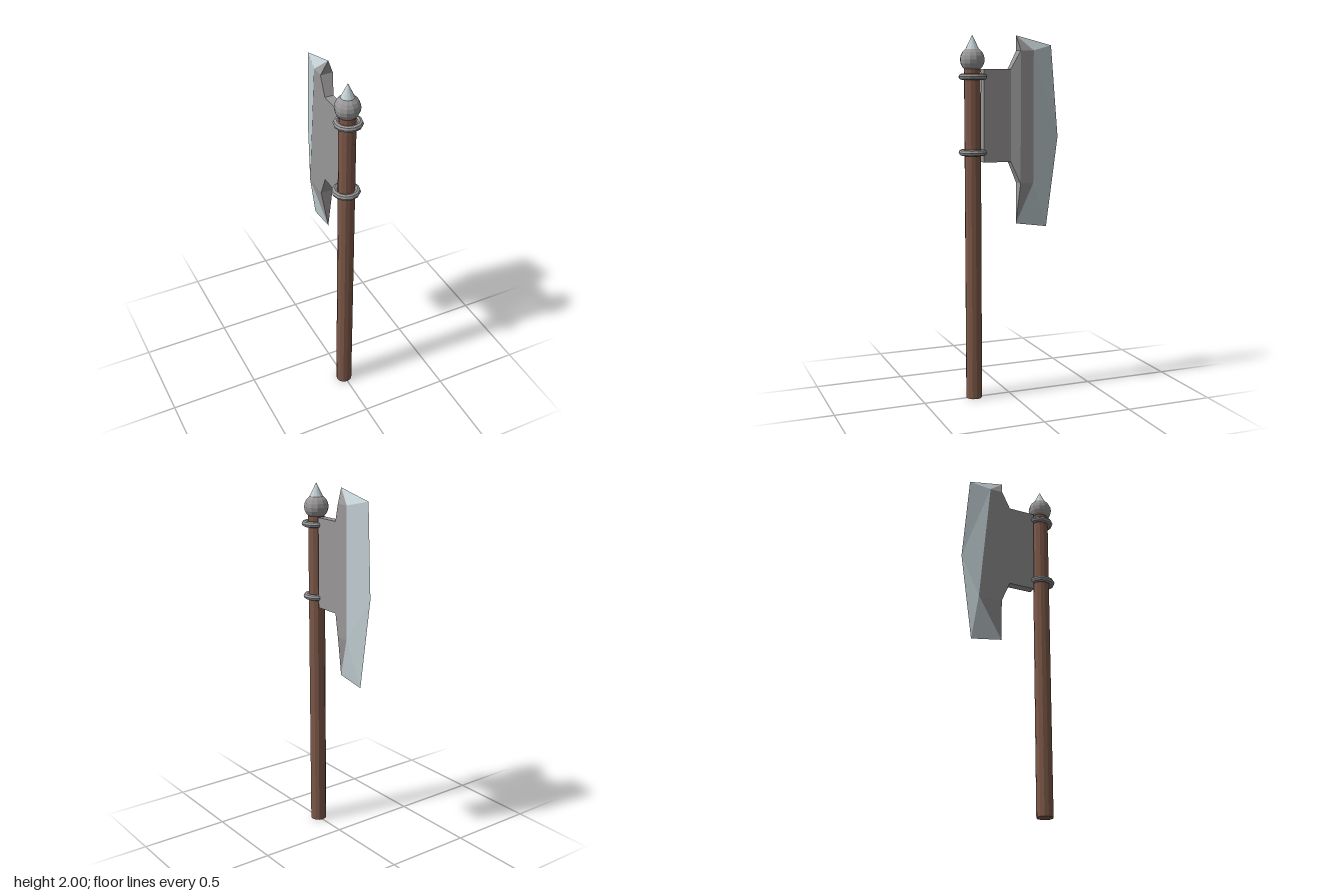
import * as THREE from 'three';

const mat = (color) => new THREE.MeshStandardMaterial({ color, flatShading: true });

export function createModel() {
  const group = new THREE.Group();
  const wood = mat(0x7d5848), iron = mat(0x999797), steel = mat(0xc4d1d5);
  const add = (name, geometry, material, x = 0, y = 0, z = 0) => {
    const mesh = new THREE.Mesh(geometry, material);
    mesh.name = name;
    mesh.position.set(x, y, z);
    group.add(mesh);
    return mesh;
  };

  // Shaft with ball and spike on top
  const sx = -0.002, sz = 0.21;
  add('shaft', new THREE.CylinderGeometry(0.045, 0.045, 1.83, 12), wood, sx, 0.915, sz);
  add('pommelBall', new THREE.SphereGeometry(0.067, 12, 10), iron, sx, 1.87, sz);
  add('spike', new THREE.ConeGeometry(0.042, 0.085, 12), steel, sx, 1.9575, sz);

  // Two rings clasping the shaft
  for (const [name, x, y] of [['upperRing', 0.003, 1.78], ['lowerRing', -0.004, 1.375]]) {
    const ring = new THREE.TorusGeometry(0.06, 0.017, 8, 12).rotateX(Math.PI / 2);
    add(name, ring, iron, x, y, sz);
  }

  // Blade corners for one side: t = top, b = bottom; the cutting edge and horns are shared
  const horn = [0.014, 2, -0.035], lowHorn = [0.014, 0.975, -0.035];
  const edgeTop = [0.002, 1.95, -0.247], edgeMid = [0.014, 1.45, -0.285], edgeLow = [0.02, 0.95, -0.215];
  const side = (xNeck, xWide, zLowRidge) => ({
    plateT: [xNeck, 1.82, 0.155], plateB: [xNeck, 1.32, 0.155],
    neckT: [xNeck, 1.82, 0], neckB: [xNeck, 1.32, 0],
    backT: [xWide, 1.92, -0.05], backB: [xWide, 1.2, -0.05],
    ridgeT: [xWide, 1.92, -0.125], ridgeB: [xWide, 1.2, zLowRidge],
  });
  const L = side(0.026, 0.047, -0.125), R = side(-0.022, -0.022, -0.19);

  // Polygons (triangles or quads) to a flat-shaded geometry
  const polys = (list) => {
    const pos = [];
    for (const p of list)
      for (let i = 1; i < p.length - 1; i++) pos.push(...p[0], ...p[i], ...p[i + 1]);
    const g = new THREE.BufferGeometry();
    g.setAttribute('position', new THREE.Float32BufferAttribute(pos, 3));
    g.computeVertexNormals();
    return g;
  };
  const body = [], bevel = [];
  for (const s of [L, R]) {
    const wind = (p) => (s === L ? p : [...p].reverse());
    body.push(...[
      [s.plateT, s.plateB, s.neckB, s.neckT],
      [s.neckT, s.neckB, s.backB, s.backT],
      [s.backT, s.backB, s.ridgeB, s.ridgeT],
      [s.backT, s.ridgeT, horn],
      [s.backB, lowHorn, s.ridgeB],
    ].map(wind));
    bevel.push(...[
      [horn, s.ridgeT, edgeTop],
      [edgeTop, s.ridgeT, edgeMid],
      [s.ridgeT, s.ridgeB, edgeMid],
      [s.ridgeB, edgeLow, edgeMid],
      [s.ridgeB, lowHorn, edgeLow],
    ].map(wind));
  }
  // Top, bottom and rear faces joining the two sides
  body.push(
    [R.plateT, L.plateT, L.neckT, R.neckT],
    [R.neckT, L.neckT, L.backT, R.backT],
    [R.backT, L.backT, horn],
    [L.plateB, R.plateB, R.neckB, L.neckB],
    [L.neckB, R.neckB, R.backB, L.backB],
    [R.backB, lowHorn, L.backB],
    [R.plateT, R.plateB, L.plateB, L.plateT],
  );
  add('bladeBody', polys(body), iron);
  add('bladeEdge', polys(bevel), steel);
  return group;
}
